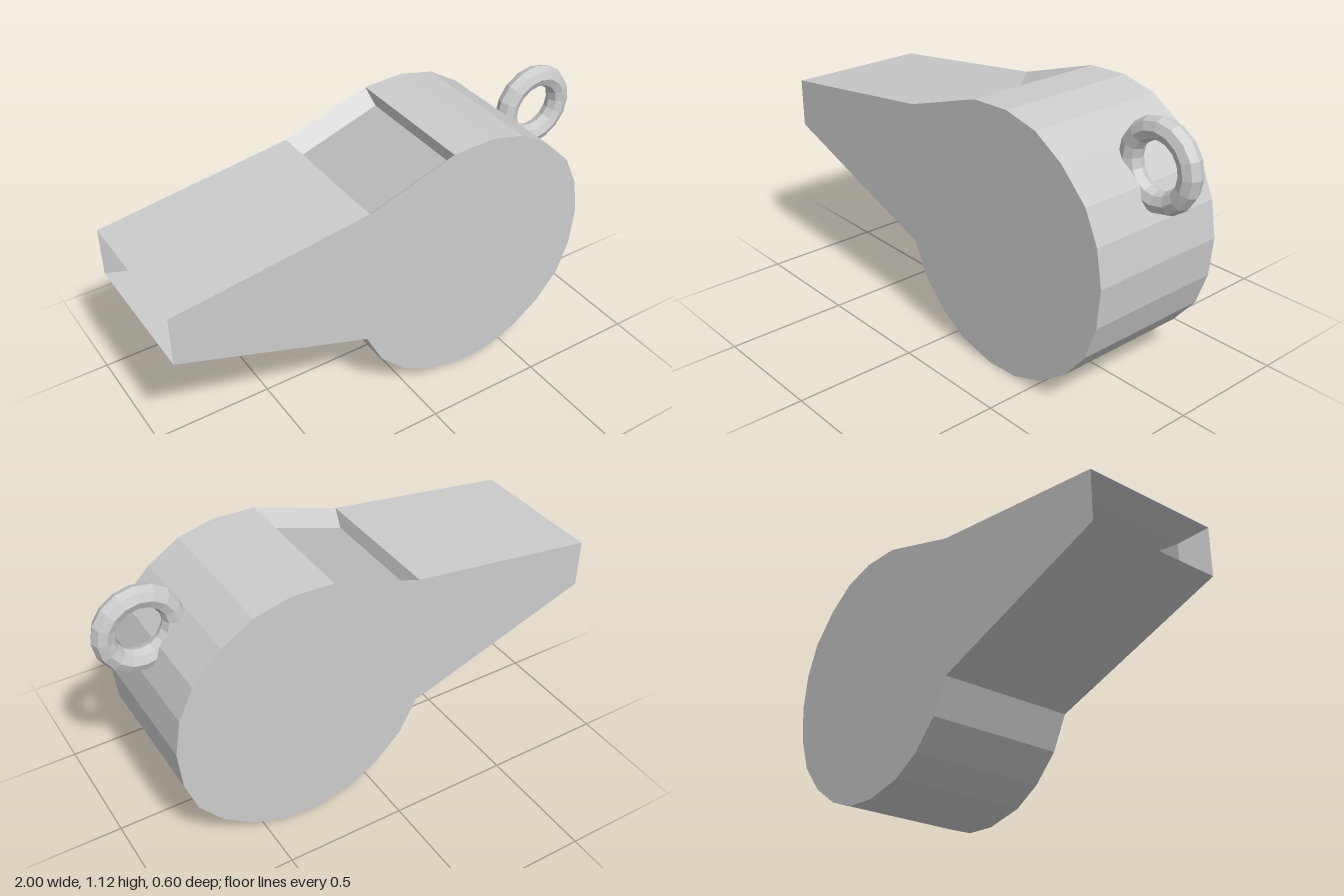
import * as THREE from 'three';

// Side profile, counter-clockwise from the lower lip of the mouthpiece
const PROFILE = [
  [-1, 0.64], [-0.2, 0.36], [-0.13, 0.22], [-0.02, 0.11], [0.1, 0.04], [0.27, 0.003],
  [0.41, 0.01], [0.55, 0.06], [0.68, 0.15], [0.78, 0.27], [0.83, 0.41], [0.845, 0.57],
  [0.82, 0.72], [0.76, 0.85], [0.64, 0.97], [0.51, 1.05], [0.36, 1.085], [0.185, 1.078],
  [-0.188, 0.957], [-1, 0.845],
].map(([x, y]) => new THREE.Vector2(x, y));
const SLOT = 17;                    // open edge on top
const MOUTH = PROFILE.length - 1;   // open edge at the mouthpiece
const HALF_WIDTH = 0.3;
const WALL = 0.06;

// Profile moved inwards by the wall thickness, with a bevelled mouth
function insetProfile() {
  const n = PROFILE.length;
  const inward = (a, b) => new THREE.Vector2(a.y - b.y, b.x - a.x).normalize();
  const inner = PROFILE.map((p, i) => {
    const n1 = inward(PROFILE[(i + n - 1) % n], p);
    const n2 = inward(p, PROFILE[(i + 1) % n]);
    const offset = n1.clone().add(n2).multiplyScalar(WALL / (1 + n1.dot(n2)));
    return p.clone().add(offset);
  });
  inner[0].set(-0.9, 0.655);
  inner[MOUTH].set(-0.9, 0.8);
  return inner;
}

function bodyGeometry() {
  const pos = [];
  const tri = (...pts) => pts.forEach((p) => pos.push(p.x, p.y, p.z));
  const quad = (a, b, c, d) => { tri(a, b, c); tri(a, c, d); };
  const at = (p, z) => new THREE.Vector3(p.x, p.y, z);
  const strip = (pts, i, z) => {
    const a = pts[i], b = pts[(i + 1) % pts.length];
    return [at(a, z), at(a, -z), at(b, -z), at(b, z)];
  };
  const inner = insetProfile();
  const innerZ = HALF_WIDTH - WALL;

  PROFILE.forEach((_, i) => {
    const o = strip(PROFILE, i, HALF_WIDTH);
    const n = strip(inner, i, innerZ);
    if (i === SLOT || i === MOUTH) {
      // sloping rim around an opening
      for (let k = 0; k < 4; k++) {
        const m = (k + 1) % 4;
        quad(o[k], o[m], n[m], n[k]);
      }
    } else {
      quad(...o);
      quad(...n.reverse());
    }
  });

  // outer and inner faces of both side plates
  for (const [pts, z, flip] of [[PROFILE, HALF_WIDTH, false], [inner, innerZ, true]]) {
    for (const [a, b, c] of THREE.ShapeUtils.triangulateShape(pts, [])) {
      for (const s of [1, -1]) {
        const f = [at(pts[a], s * z), at(pts[b], s * z), at(pts[c], s * z)];
        tri(...((s < 0) !== flip ? f.reverse() : f));
      }
    }
  }

  const g = new THREE.BufferGeometry();
  g.setAttribute('position', new THREE.Float32BufferAttribute(pos, 3));
  g.computeVertexNormals();
  return g;
}

export function createModel() {
  const group = new THREE.Group();
  group.name = 'whistle';
  const material = new THREE.MeshStandardMaterial({ color: 0xcccccc, flatShading: true });

  // Hollow body with mouthpiece and sound slot
  const body = new THREE.Mesh(bodyGeometry(), material);
  body.name = 'body';
  group.add(body);

  // Lanyard ring
  const ring = new THREE.Mesh(new THREE.TorusGeometry(0.136, 0.045, 8, 16), material);
  ring.name = 'lanyardRing';
  ring.position.set(0.818, 0.937, 0);
  group.add(ring);

  return group;
}
